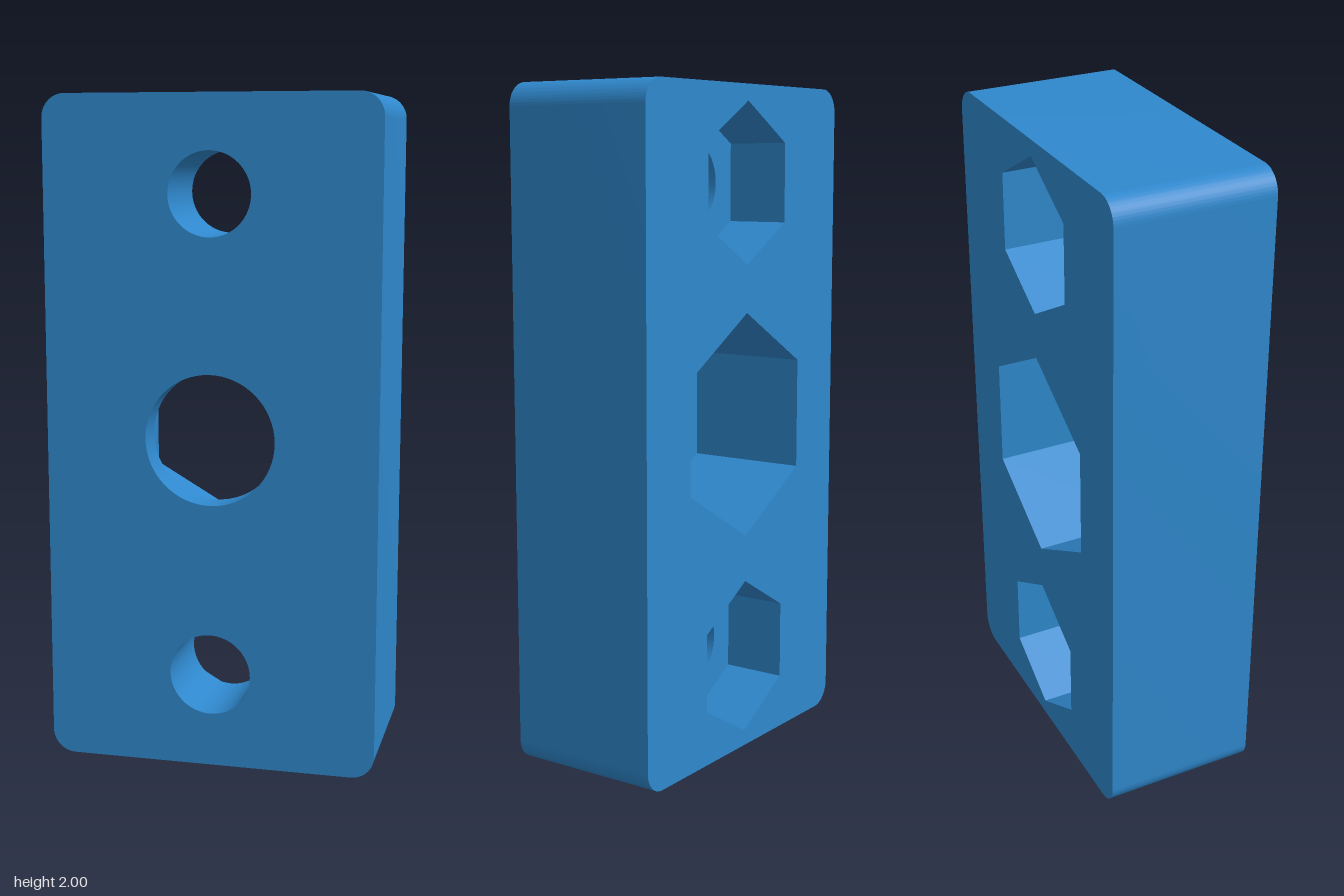
import * as THREE from 'three';
import { toCreasedNormals } from 'three/addons/utils/BufferGeometryUtils.js';

const W = 0.5, H = 1, D = 0.237, CORNER = 0.07;
const SEGMENTS = 12;

// rounded rectangle, counter-clockwise
function plateOutline() {
  const s = new THREE.Shape();
  const x = W - CORNER, y = H - CORNER, q = Math.PI / 2;
  s.moveTo(-x, -H);
  s.lineTo(x, -H);
  s.absarc(x, -y, CORNER, -q, 0);
  s.lineTo(W, y);
  s.absarc(x, y, CORNER, 0, q);
  s.lineTo(-x, H);
  s.absarc(-x, y, CORNER, q, 2 * q);
  s.lineTo(-W, -y);
  s.absarc(-x, -y, CORNER, 2 * q, 3 * q);
  return s;
}

// regular polygon with a corner at the top, counter-clockwise
function polygon(radius, sides, cy = 0) {
  const pts = [];
  for (let i = 0; i < sides; i++) {
    const a = Math.PI / 2 + (i / sides) * Math.PI * 2;
    pts.push(new THREE.Vector2(Math.cos(a) * radius, cy + Math.sin(a) * radius));
  }
  return pts;
}

// strip of wall along a closed outline; inward walls line a hole
function wall(points, z0, z1, inward) {
  const pts = inward ? [...points].reverse() : points;
  const pos = [];
  pts.forEach((a, i) => {
    const b = pts[(i + 1) % pts.length];
    if (a.distanceTo(b) < 1e-6) return;
    pos.push(a.x, a.y, z0, b.x, b.y, z0, b.x, b.y, z1);
    pos.push(a.x, a.y, z0, b.x, b.y, z1, a.x, a.y, z1);
  });
  const g = new THREE.BufferGeometry();
  g.setAttribute('position', new THREE.Float32BufferAttribute(pos, 3));
  return toCreasedNormals(g, Math.PI / 6);
}

// flat face with holes, facing front or back
function face(shape, holes, z, back) {
  shape.holes = holes.map((pts) => new THREE.Path(pts));
  const g = new THREE.ShapeGeometry(shape, SEGMENTS);
  if (back) g.rotateY(Math.PI);
  return g.translate(0, 0, z);
}

export function createModel() {
  const model = new THREE.Group();
  model.name = 'mountingPlate';
  const blue = new THREE.MeshStandardMaterial({ color: 0x2f88cd });
  blue.name = 'blue';

  const add = (parent, name, geometry) => {
    const mesh = new THREE.Mesh(geometry, blue);
    mesh.name = name;
    parent.add(mesh);
  };

  // bolt holes: round at the front, hexagonal nut pocket at the back
  const bolts = [
    { name: 'upperBoltHole', y: 0.715, r: 0.123, hex: 0.237, depth: 0.196 },
    { name: 'centreBoltHole', y: 0, r: 0.195, hex: 0.337, depth: 0.381 },
    { name: 'lowerBoltHole', y: -0.715, r: 0.123, hex: 0.237, depth: 0.196 },
  ];
  const circles = bolts.map((b) => polygon(b.r, 64, b.y));
  const hexes = bolts.map((b) => polygon(b.hex, 6, b.y));

  // plate
  const plate = new THREE.Group();
  plate.name = 'plate';
  add(plate, 'frontFace', face(plateOutline(), circles, D, false));
  add(plate, 'backFace', face(plateOutline(), hexes, -D, true));
  add(plate, 'rim', wall(plateOutline().getPoints(SEGMENTS), -D, D, false));
  model.add(plate);

  // hole linings
  bolts.forEach((b, i) => {
    const hole = new THREE.Group();
    hole.name = b.name;
    const floor = -D + b.depth;
    add(hole, 'bore', wall(circles[i], floor, D, true));
    add(hole, 'nutPocketWall', wall(hexes[i], -D, floor, true));
    add(hole, 'nutPocketFloor', face(new THREE.Shape(hexes[i]), [circles[i]], floor, true));
    model.add(hole);
  });

  plate.position.y = H;
  model.children.forEach((part) => { part.position.y = H; });
  return model;
}
